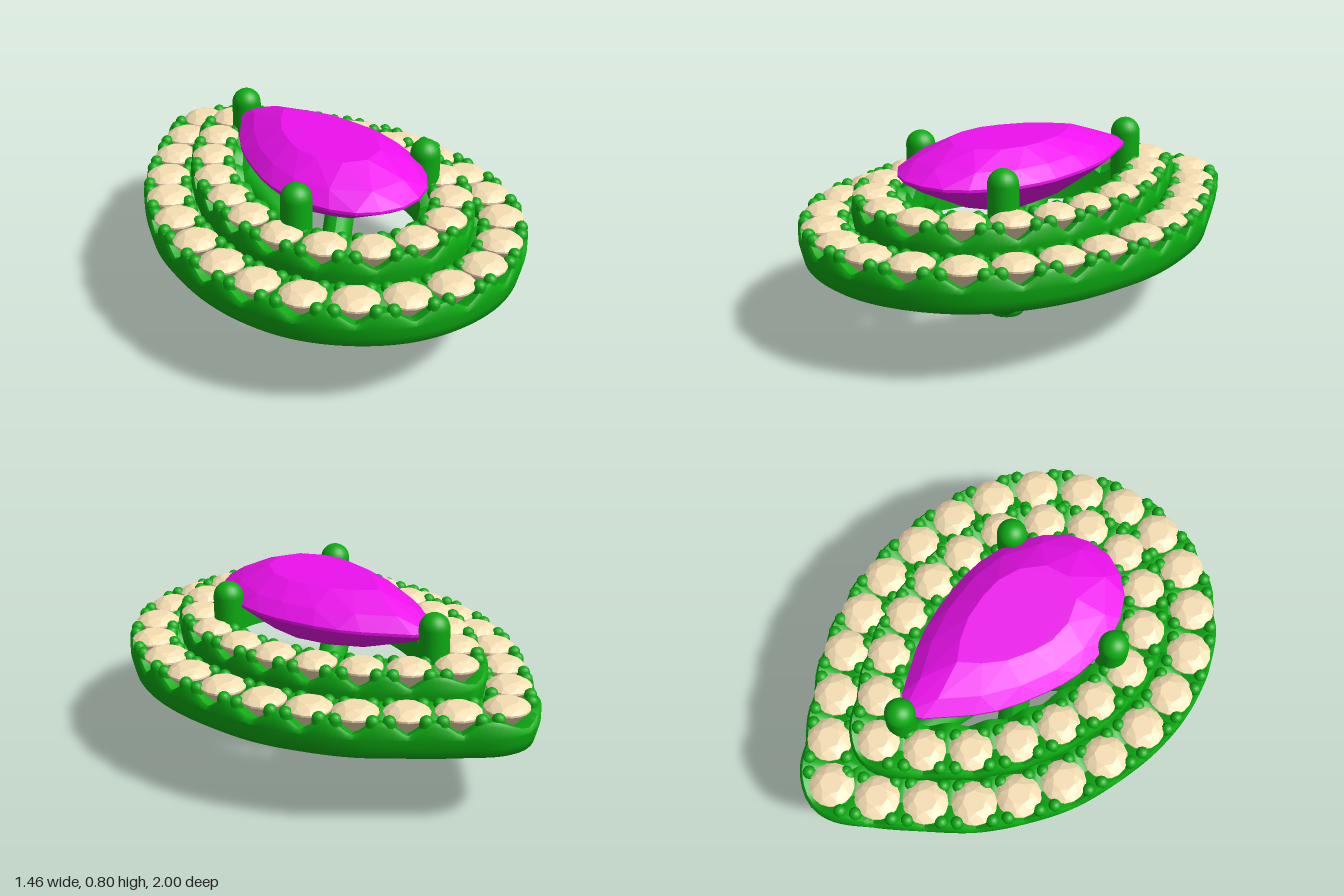
import * as THREE from 'three';
import { mergeGeometries, toCreasedNormals } from 'three/addons/utils/BufferGeometryUtils.js';
import { ConvexGeometry } from 'three/addons/geometries/ConvexGeometry.js';

const metal = new THREE.MeshStandardMaterial({ color: 0x0cab12 });
const cream = new THREE.MeshStandardMaterial({ color: 0xf5deb3 });
const magenta = new THREE.MeshStandardMaterial({ color: 0xee11ee });

// Closed pear curve in the xz plane from the points of its +x half, tip to base
function pearCurve(half) {
  const mirrored = half.slice(1, -1).reverse().map(([x, z]) => [-x, z]);
  const pts = [...half, ...mirrored].map(([x, z]) => new THREE.Vector3(x, 0, z));
  return new THREE.CatmullRomCurve3(pts, true, 'centripetal');
}

// Point beside the curve: offset outwards, shifted along, at height y
function beside(curve, t, offset, along, y) {
  const p = curve.getPoint(t), d = curve.getTangent(t);
  return new THREE.Vector3(p.x + d.z * offset + d.x * along, y, p.z - d.x * offset + d.z * along);
}

// Ring body whose rim dips at every stone; w and v are its outer and inner half widths
function ringBody(curve, n, y0, rimY, w, v) {
  const segs = n * 10, pos = [], index = [];
  let m = 0;
  for (let i = 0; i < segs; i++) {
    const t = i / segs;
    const top = rimY - 0.055 + 0.055 * Math.pow((1 - Math.cos(2 * Math.PI * n * t)) / 2, 0.7);
    const point = 1 + 0.13 * Math.exp(-Math.pow(Math.min(t, 1 - t) * n, 2)); // sharpens the tip
    const o = w * point;
    const section = [
      [-v, y0], [o * 0.66, y0], [o * 0.82, y0 + 0.012], [o * 0.91, y0 + 0.05],
      [o, y0 + (rimY - 0.055 - y0) * 0.85], [o, top - 0.015], [o * 0.9, top],
      [w * 0.55, top - 0.006], [0, top - 0.035], [-w * 0.55, top - 0.006],
      [-w * 0.88, top], [-v, top - 0.02],
    ];
    m = section.length;
    for (const [x, y] of section) pos.push(...beside(curve, t, x, 0, y).toArray());
  }
  for (let i = 0; i < segs; i++) {
    for (let j = 0; j < m; j++) {
      const k = (i + 1) % segs, l = (j + 1) % m;
      const a = i * m + j, b = i * m + l, c = k * m + l, d = k * m + j;
      index.push(a, b, d, b, c, d);
    }
  }
  const g = new THREE.BufferGeometry();
  g.setAttribute('position', new THREE.Float32BufferAttribute(pos, 3));
  g.setIndex(index);
  return toCreasedNormals(g, 0.9);
}

// Small round brilliant with its girdle at y = 0
function roundStone(r) {
  const pts = [new THREE.Vector3(0, -0.11, 0)];
  const circle = (radius, y, count, turn) => {
    for (let i = 0; i < count; i++) {
      const a = (i + turn) / count * Math.PI * 2;
      pts.push(new THREE.Vector3(radius * Math.cos(a), y, radius * Math.sin(a)));
    }
  };
  circle(r, -0.005, 16, 0);
  circle(r, 0.003, 16, 0);
  circle(r * 0.8, 0.018, 8, 0.5);
  circle(r * 0.5, 0.03, 8, 0);
  return new ConvexGeometry(pts);
}

// One ring: body, stones, and four bead claws in every gap
function halo(name, half, y0, rimY, w, v, r) {
  const group = new THREE.Group();
  group.name = name;
  const curve = pearCurve(half), n = curve.points.length;
  const add = (g, mat, part) => {
    const mesh = new THREE.Mesh(g, mat);
    mesh.name = part;
    group.add(mesh);
  };
  add(ringBody(curve, n, y0, rimY, w, v), metal, 'ringBody');

  const stone = roundStone(r);
  const claw = new THREE.CapsuleGeometry(0.027, 0.07, 4, 10);
  const stones = [], claws = [];
  for (let i = 0; i < n; i++) {
    const p = beside(curve, i / n, 0, 0, rimY);
    const d = curve.getTangent(i / n);
    stones.push(stone.clone().rotateY(Math.atan2(d.x, d.z)).translate(p.x, p.y, p.z));
    for (const side of [-1, 1]) {
      for (const along of [-0.032, 0.032]) {
        const q = beside(curve, (i + 0.5) / n, side * (w - 0.029), along, rimY - 0.04);
        claws.push(claw.clone().translate(q.x, q.y, q.z));
      }
    }
  }
  add(mergeGeometries(stones), cream, 'smallStones');
  add(mergeGeometries(claws), metal, 'beadClaws');
  return group;
}

// Faceted pear stone: scaled copies of one outline at several heights
function centreStone() {
  const outline = pearCurve([[0, -0.5], [0.13, -0.36], [0.23, -0.2], [0.295, 0], [0.32, 0.16],
    [0.29, 0.35], [0.18, 0.53], [0, 0.6]]);
  const pts = [new THREE.Vector3(0, 0.47, 0.12)];
  const layer = (scale, y, count, turn) => {
    for (let i = 0; i < count; i++) {
      const p = outline.getPoint((i + turn) / count);
      pts.push(new THREE.Vector3(p.x * scale, y, 0.11 + (p.z - 0.11) * scale));
    }
  };
  layer(0.55, 0.555, 10, 0.5);
  layer(0.84, 0.63, 10, 0);
  layer(1, 0.682, 28, 0);
  layer(1, 0.694, 28, 0);
  layer(0.84, 0.745, 14, 0.5);
  layer(0.53, 0.803, 14, 0);
  const mesh = new THREE.Mesh(new ConvexGeometry(pts), magenta);
  mesh.name = 'centreStone';
  return mesh;
}

// Curved arm from the hub to (x, z) on the ring, deeper than it is wide
function supportArm(x, z, bend, bendY) {
  const dz = z - 0.12, k = 0.04 / Math.hypot(x, dz);
  const path = new THREE.QuadraticBezierCurve3(
    new THREE.Vector3(x * k, 0.085, 0.12 + dz * k),
    new THREE.Vector3(x * bend, bendY, 0.12 + dz * bend),
    new THREE.Vector3(x, 0.395, z));
  const segs = 24, sides = 14;
  const g = new THREE.TubeGeometry(path, segs, 0.066, sides);
  const p = g.attributes.position;
  for (let i = 0; i < p.count; i++) {
    const c = path.getPointAt(Math.floor(i / (sides + 1)) / segs);
    p.setY(i, c.y + (p.getY(i) - c.y) * 1.15);
  }
  g.computeVertexNormals();
  const arm = new THREE.Mesh(g, metal);
  arm.name = 'supportArm';
  return arm;
}

export function createModel() {
  const model = new THREE.Group();
  model.name = 'pearHaloSetting';

  // Two stepped rings of stones
  model.add(halo('outerRing', [[0, -0.88], [0.16, -0.77], [0.3, -0.63], [0.43, -0.48], [0.52, -0.32],
    [0.59, -0.14], [0.62, 0.06], [0.622, 0.26], [0.585, 0.45], [0.5, 0.63], [0.36, 0.775],
    [0.19, 0.87], [0, 0.9]], 0.335, 0.5, 0.105, 0.135, 0.093));
  model.add(halo('innerRing', [[0, -0.63], [0.15, -0.51], [0.27, -0.365], [0.36, -0.2], [0.41, -0.02],
    [0.428, 0.16], [0.405, 0.35], [0.32, 0.52], [0.18, 0.645], [0, 0.69]], 0.42, 0.6, 0.096, 0.125, 0.088));
  model.add(centreStone());

  // Three prongs holding the centre stone
  for (const [x, z] of [[0.325, 0.34], [-0.325, 0.34], [0, -0.51]]) {
    const prong = new THREE.Mesh(new THREE.CapsuleGeometry(0.063, 0.25, 8, 20), metal);
    prong.name = 'prong';
    prong.position.set(x, 0.597, z);
    model.add(prong);
  }

  // Five arms: two to each side and one to the tip
  for (const s of [-1, 1]) {
    model.add(supportArm(s * 0.57, 0.52, 0.47, 0.27));
    model.add(supportArm(s * 0.5, -0.4, 0.47, 0.27));
  }
  model.add(supportArm(0, -0.89, 0.38, 0.32));

  // Rounded hub where the arms meet
  const profile = [[0, 0.003], [0.05, 0.003], [0.072, 0.012], [0.085, 0.035], [0.082, 0.12], [0.066, 0.18], [0.055, 0.19], [0, 0.19]];
  const hub = new THREE.Mesh(new THREE.LatheGeometry(profile.map(([x, y]) => new THREE.Vector2(x, y)), 24), metal);
  hub.name = 'hub';
  hub.position.z = 0.12;
  model.add(hub);

  return model;
}
